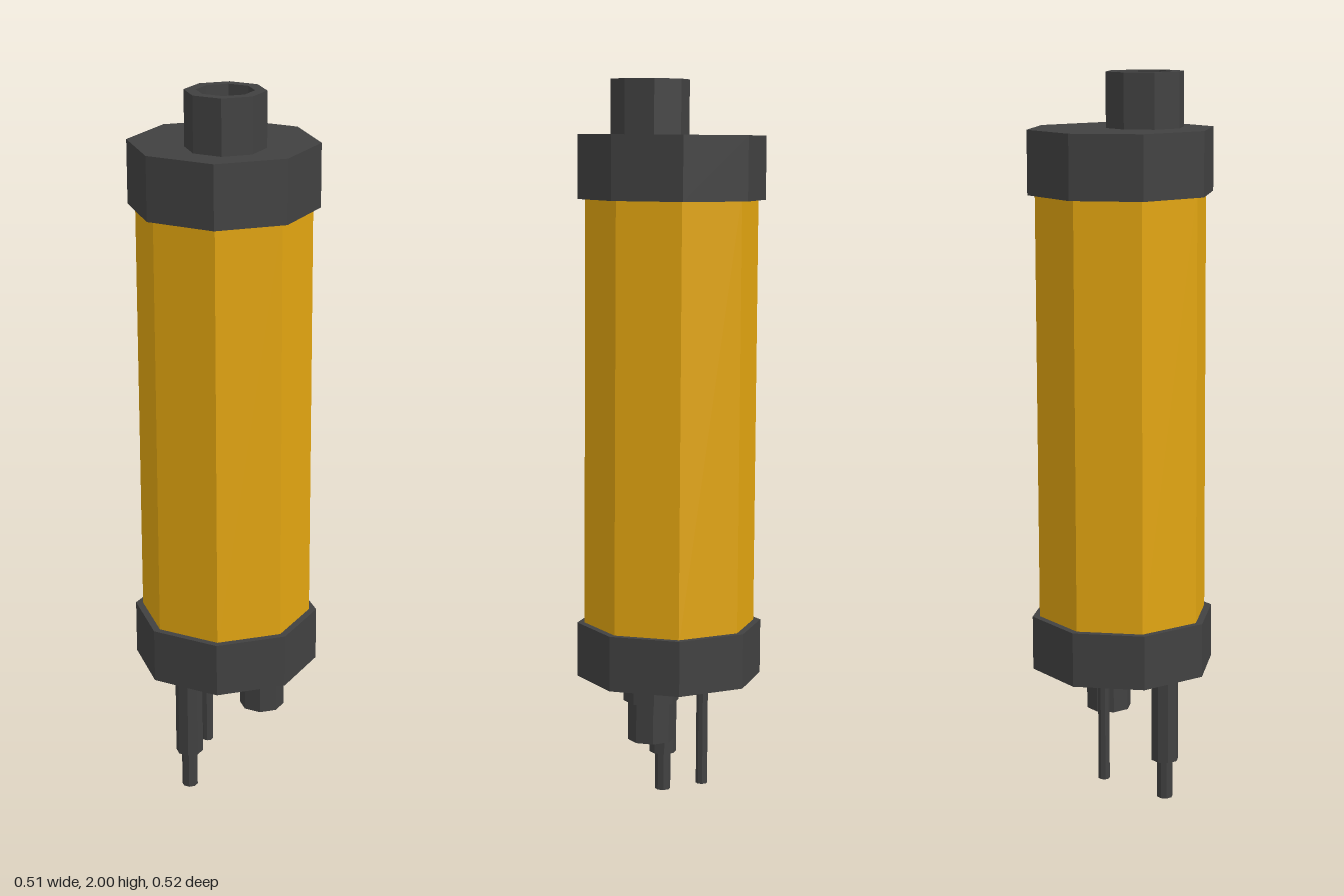
import * as THREE from 'three';

export function createModel() {
  const model = new THREE.Group();
  const dark = new THREE.MeshStandardMaterial({ name: 'darkGrey', color: 0x414141, flatShading: true });
  const amber = new THREE.MeshStandardMaterial({ name: 'amber', color: 0xe2a510, flatShading: true });

  // the whole canister leans back very slightly
  const canister = new THREE.Group();
  canister.name = 'canister';
  canister.rotation.x = -0.007;
  canister.position.z = 0.0077;
  model.add(canister);

  // upright octagonal prism from y0 to y1
  function prism(name, material, radius, y0, y1, x = 0, z = 0) {
    const mesh = new THREE.Mesh(new THREE.CylinderGeometry(radius, radius, y1 - y0, 8), material);
    mesh.name = name;
    mesh.position.set(x, (y0 + y1) / 2, z);
    canister.add(mesh);
  }

  // body between two end caps
  prism('body', amber, 0.235, 0.5, 1.7);
  prism('bottomCap', dark, 0.255, 0.37, 0.52);
  prism('topCap', dark, 0.255, 1.68, 1.852);

  // hollow socket on the top cap
  const profile = [[0.107, 0], [0.107, 0.15], [0.076, 0.15], [0.076, 0.03], [0, 0.03]]
    .map(([x, y]) => new THREE.Vector2(x, y));
  const socket = new THREE.Mesh(new THREE.LatheGeometry(profile, 8), dark);
  socket.name = 'topSocket';
  socket.position.set(-0.04, 1.85, 0.057);
  canister.add(socket);

  // stepped pipe under the bottom cap
  prism('pipeSleeve', dark, 0.038, 0.11, 0.38, -0.136, 0.001);
  prism('pipeTip', dark, 0.022, 0, 0.12, -0.136, 0.001);

  // thin rod
  prism('rod', dark, 0.016, 0.057, 0.38, 0.005, -0.093);

  // plug with its flange
  prism('plugFlange', dark, 0.076, 0.32, 0.38, 0.084, 0.058);
  prism('plug', dark, 0.063, 0.21, 0.33, 0.084, 0.058);

  return model;
}
